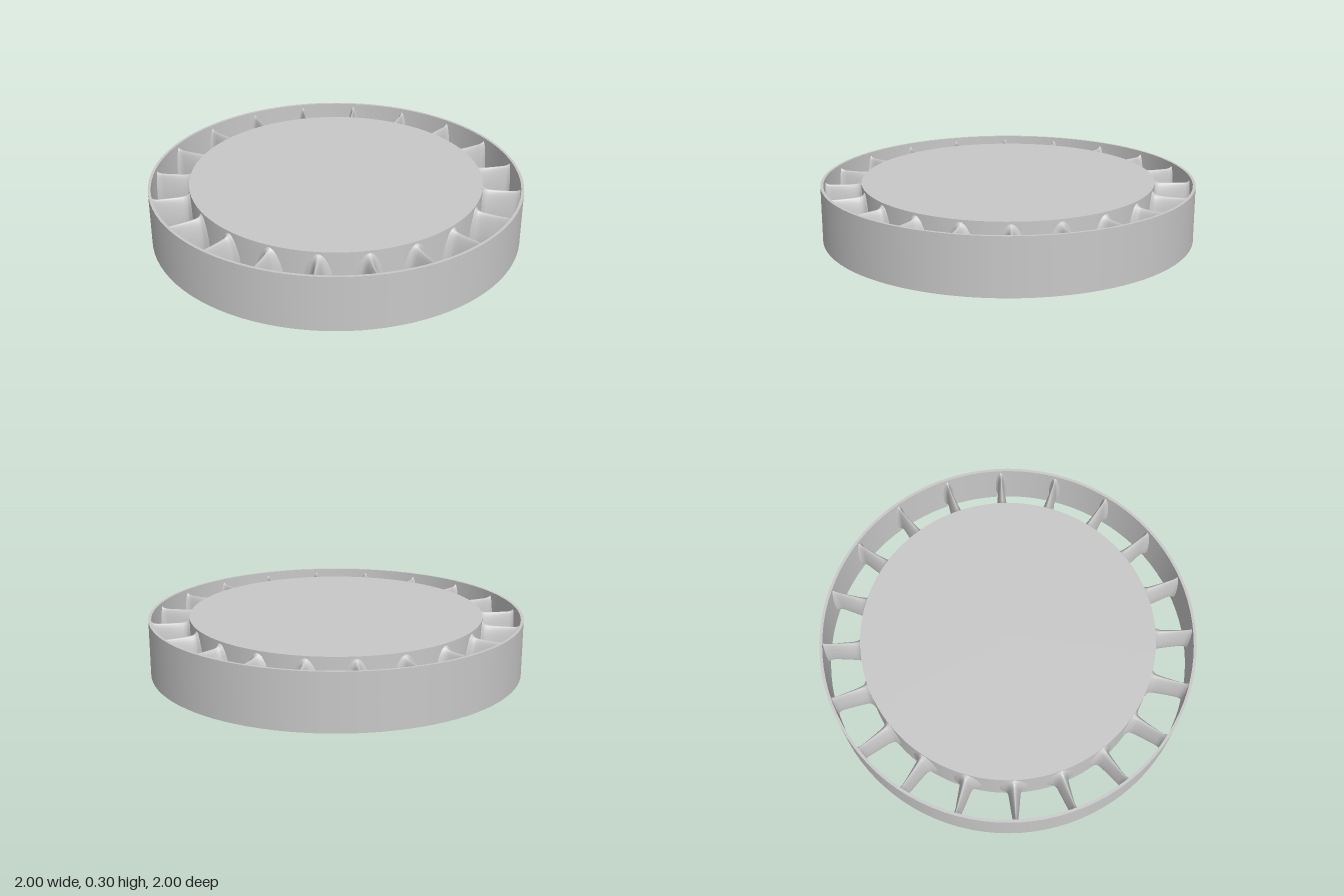
import * as THREE from 'three';
import { mergeGeometries } from 'three/addons/utils/BufferGeometryUtils.js';

const HEIGHT = 0.3;
const BLADES = 20;

// Sharp-edged ring: each side of the rectangular section is its own lathe strip
function ringGeometry(inner, outer) {
  const corners = [[outer, 0], [outer, HEIGHT], [inner, HEIGHT], [inner, 0]];
  const strips = corners.map((c, i) => {
    const next = corners[(i + 1) % 4];
    return new THREE.LatheGeometry([new THREE.Vector2(...c), new THREE.Vector2(...next)], 96);
  });
  return mergeGeometries(strips);
}

// Blade lofted outward along x from oval sections, flaring into hub and rim
function bladeGeometry() {
  // [radius, half thickness, half height]
  const stations = [
    [0.772, 0.085, 0.142], [0.785, 0.068, 0.138], [0.792, 0.05, 0.13],
    [0.803, 0.038, 0.123], [0.82, 0.032, 0.119], [0.85, 0.028, 0.117],
    [0.9, 0.022, 0.116], [0.95, 0.015, 0.116], [0.967, 0.016, 0.118],
    [0.978, 0.022, 0.123], [0.986, 0.032, 0.13], [0.991, 0.038, 0.134],
  ];
  const sides = 28;
  const positions = [];
  const indices = [];
  stations.forEach(([r, t, h], i) => {
    for (let j = 0; j < sides; j++) {
      const a = (j / sides) * Math.PI * 2;
      const taper = 1 - 0.2 * Math.cos(a); // fuller toward the lower edge
      positions.push(r, HEIGHT / 2 + h * Math.cos(a), t * Math.sin(a) * taper);
      if (i === stations.length - 1) continue;
      const k = (j + 1) % sides;
      const p = i * sides + j, q = i * sides + k;
      indices.push(p, q, p + sides, q, q + sides, p + sides);
    }
  });
  const geometry = new THREE.BufferGeometry();
  geometry.setAttribute('position', new THREE.Float32BufferAttribute(positions, 3));
  geometry.setIndex(indices);
  geometry.computeVertexNormals();
  return geometry;
}

export function createModel() {
  const model = new THREE.Group();
  model.name = 'bladedRing';
  const metal = new THREE.MeshStandardMaterial({ color: 0xc8c8c8 });
  metal.name = 'lightGrey';

  // Solid central disc
  const hub = new THREE.Mesh(new THREE.CylinderGeometry(0.785, 0.785, HEIGHT, 96), metal);
  hub.name = 'hub';
  hub.position.y = HEIGHT / 2;
  model.add(hub);

  // Thin outer shroud
  const rim = new THREE.Mesh(ringGeometry(0.985, 1), metal);
  rim.name = 'rim';
  model.add(rim);

  // Evenly spaced blades between hub and rim
  const blades = new THREE.Group();
  blades.name = 'blades';
  const shape = bladeGeometry();
  for (let i = 0; i < BLADES; i++) {
    const blade = new THREE.Mesh(shape, metal);
    blade.name = `blade${i + 1}`;
    blade.rotation.y = (i / BLADES) * Math.PI * 2;
    blades.add(blade);
  }
  model.add(blades);
  return model;
}
